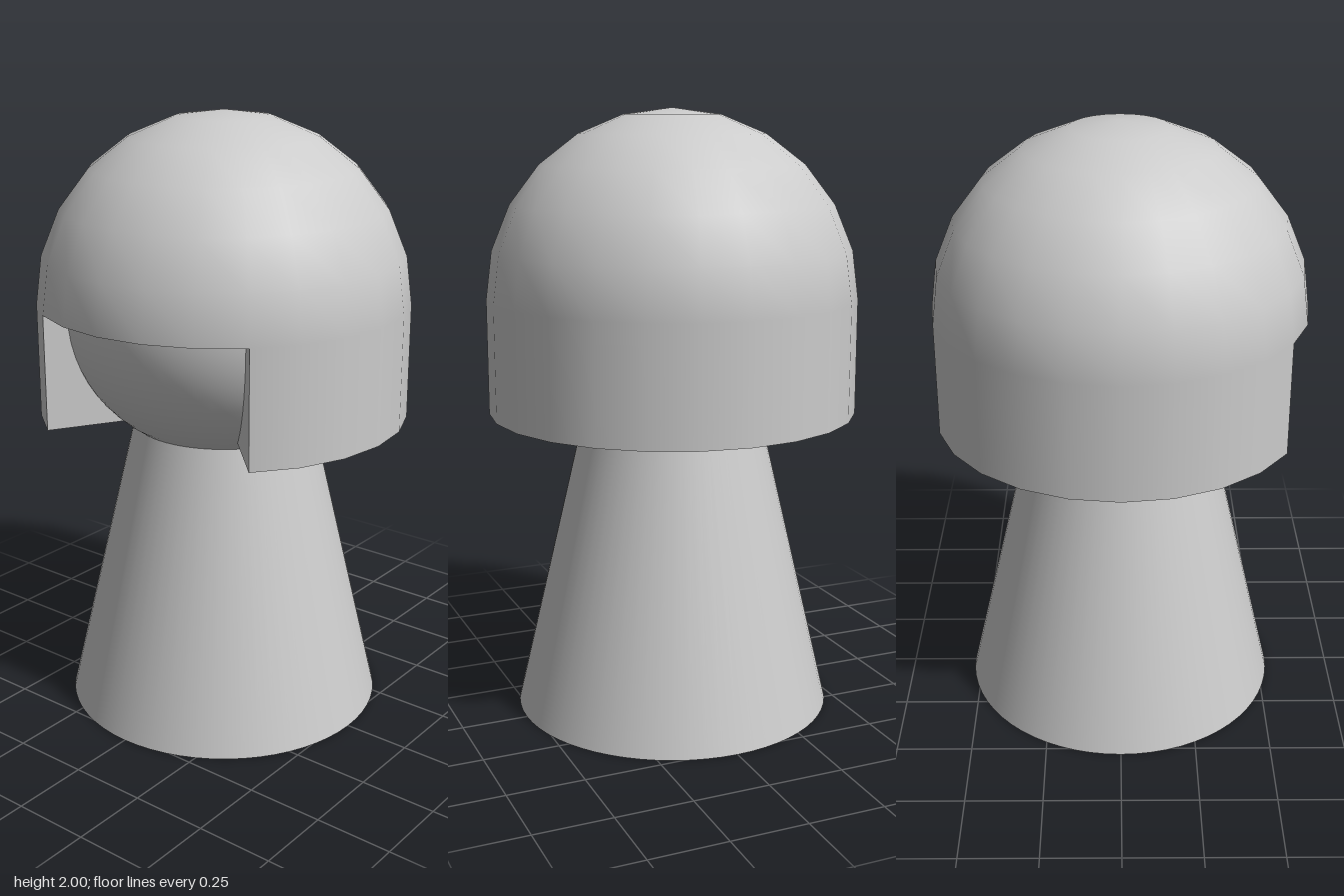
import * as THREE from 'three';

const RIM = 0.607;      // helmet radius
const BROW = 1.393;     // height where dome meets the wall
const HEM = 1.015;      // lower edge of the helmet wall
const INNER = 0.34;     // where the hem disappears into the head
const rad = THREE.MathUtils.degToRad;

export function createModel() {
  const model = new THREE.Group();
  const material = new THREE.MeshStandardMaterial({ color: 0xcccccc });
  const thin = new THREE.MeshStandardMaterial({ color: 0xcccccc, side: THREE.DoubleSide });

  const add = (name, geometry, y, mat = material, parent = model) => {
    const mesh = new THREE.Mesh(geometry, mat);
    mesh.name = name;
    mesh.position.y = y;
    parent.add(mesh);
    return mesh;
  };

  // Tapered body
  add('body', new THREE.CylinderGeometry(0.3, 0.53, 0.98, 64), 0.49);

  // Round head, slightly flattened
  add('head', new THREE.SphereGeometry(0.53, 64, 32).scale(1, 0.953, 1), BROW);

  // Helmet: dome over a wall that is open at the face from -30 to 45 degrees
  const helmet = new THREE.Group();
  helmet.name = 'helmet';
  model.add(helmet);
  const from = 45, sweep = 285, height = BROW - HEM;

  add('helmetDome', new THREE.SphereGeometry(RIM, 24, 6, 0, Math.PI * 2, 0, Math.PI / 2), BROW, material, helmet);
  add('helmetWall', new THREE.CylinderGeometry(RIM, RIM, height, 19, 1, true, rad(from), rad(sweep)),
    HEM + height / 2, thin, helmet);

  // Flat undersides: the hem of the wall and the brow above the face opening
  const underside = (name, segments, start, length, y) =>
    add(name, new THREE.RingGeometry(INNER, RIM, segments, 1, rad(start), rad(length)).rotateX(Math.PI / 2),
      y, thin, helmet);
  underside('helmetHem', 19, -240, sweep, HEM);
  underside('helmetBrow', 5, 45, 75, BROW);

  // Radial sides of the face opening
  for (const angle of [from, from + sweep]) {
    const side = new THREE.PlaneGeometry(RIM - INNER, height);
    side.translate((RIM + INNER) / 2, 0, 0).rotateY(rad(angle - 90));
    add('faceOpeningSide', side, HEM + height / 2, thin, helmet);
  }

  return model;
}
